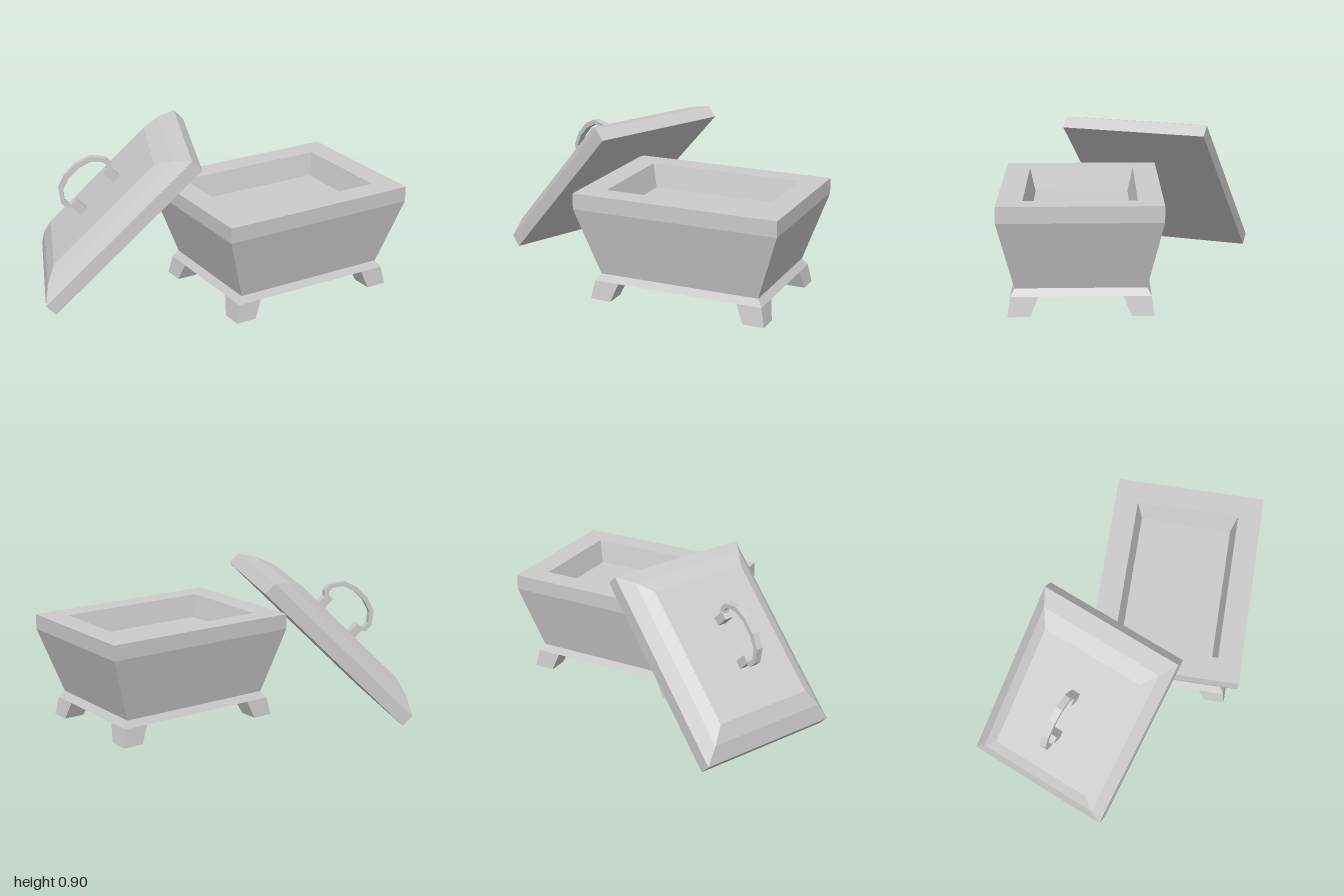
import * as THREE from 'three';

const material = new THREE.MeshStandardMaterial({ color: 0xcccccc, flatShading: true });

function addMesh(parent, name, geometry) {
  const mesh = new THREE.Mesh(geometry, material);
  mesh.name = name;
  parent.add(mesh);
  return mesh;
}

// Closed solid through rectangular rings [x0, x1, y, z0, z1], first to last
function loft(rings) {
  const pos = [];
  const corners = rings.map(([x0, x1, y, z0, z1]) => [[x0, y, z1], [x1, y, z1], [x1, y, z0], [x0, y, z0]]);
  const quad = (a, b, c, d) => pos.push(...a, ...b, ...c, ...a, ...c, ...d);
  for (let i = 0; i < corners.length - 1; i++) {
    const lo = corners[i], hi = corners[i + 1];
    for (let k = 0; k < 4; k++) {
      const n = (k + 1) % 4;
      quad(lo[k], lo[n], hi[n], hi[k]);
    }
  }
  const first = corners[0], last = corners[corners.length - 1];
  quad(first[3], first[2], first[1], first[0]);
  quad(...last);
  const g = new THREE.BufferGeometry();
  g.setAttribute('position', new THREE.Float32BufferAttribute(pos, 3));
  g.computeVertexNormals();
  return g;
}

// Ring centred on the axis: half width, height, half depth
const ring = (hx, y, hz) => [-hx, hx, y, -hz, hz];

function createChest() {
  const chest = new THREE.Group();
  chest.name = 'chest';

  // Flared foot band, tapered body, upright rim and shallow recess in one skin
  addMesh(chest, 'body', loft([
    ring(0.497, 0.105, 0.378),
    ring(0.468, 0.145, 0.355),
    ring(0.595, 0.53, 0.4425),
    ring(0.595, 0.62, 0.4425),
    ring(0.455, 0.62, 0.305),
    ring(0.42, 0.485, 0.273),
  ]));

  // Splayed corner legs
  const span = (s, a, b) => (s > 0 ? [a, b] : [-b, -a]);
  for (const sx of [-1, 1]) for (const sz of [-1, 1]) {
    const level = (y, xi, xo, zi, zo) => [...span(sx, xi, xo), y, ...span(sz, zi, zo)];
    addMesh(chest, (sz > 0 ? 'front' : 'back') + (sx > 0 ? 'Left' : 'Right') + 'Leg', loft([
      level(0, 0.395, 0.518, 0.272, 0.393),
      level(0.105, 0.353, 0.497, 0.227, 0.378),
    ]));
  }
  chest.position.set(0.405, 0, 0.307);
  return chest;
}

function createHandle() {
  const handle = new THREE.Group();
  handle.name = 'handle';

  // Faceted bail: outer and inner outline, mirrored about the middle
  const outer = [[0.15, 0.05], [0.188, 0.085], [0.188, 0.135], [0.135, 0.207], [0.05, 0.236]];
  const inner = [[0.14, 0.078], [0.162, 0.098], [0.162, 0.13], [0.118, 0.184], [0.043, 0.209]];
  const flip = (pts) => pts.map(([x, y]) => [-x, y]).reverse();
  const outline = [...outer, ...flip(outer), ...inner.map(([x, y]) => [-x, y]), ...[...inner].reverse()];
  const shape = new THREE.Shape(outline.map(([x, y]) => new THREE.Vector2(x, y)));
  const bail = new THREE.ExtrudeGeometry(shape, { depth: 0.04, bevelEnabled: false });
  bail.translate(0, 0, -0.02);
  addMesh(handle, 'bail', bail);

  // Square pegs
  for (const s of [-1, 1]) {
    addMesh(handle, 'peg', new THREE.BoxGeometry(0.05, 0.1, 0.055)).position.set(s * 0.138, 0.035, 0);
  }
  handle.position.y = 0.18;
  return handle;
}

function createLid() {
  const lid = new THREE.Group();
  lid.name = 'lid';

  // Slab with two rising bevels to a flat top
  addMesh(lid, 'lidSlab', loft([
    ring(0.5925, 0, 0.4435),
    ring(0.5925, 0.08, 0.4435),
    ring(0.5075, 0.142, 0.3815),
    ring(0.4125, 0.18, 0.3135),
  ]));
  lid.add(createHandle());

  // Lean the lid on the chest: long axis climbs, outward face points up and back
  const along = new THREE.Vector3(0.77, 0.84, 0.328).normalize();
  const across = new THREE.Vector3(-0.35, 0, 0.82).normalize();
  const out = new THREE.Vector3().crossVectors(across, along).normalize();
  const side = new THREE.Vector3().crossVectors(along, out);
  if (out.y < 0) { out.negate(); side.negate(); }
  lid.quaternion.setFromRotationMatrix(new THREE.Matrix4().makeBasis(along, out, side));
  lid.position.set(-0.385, 0.42, -0.157);
  return lid;
}

export function createModel() {
  const model = new THREE.Group();
  model.name = 'openChest';
  model.add(createChest(), createLid());
  return model;
}
